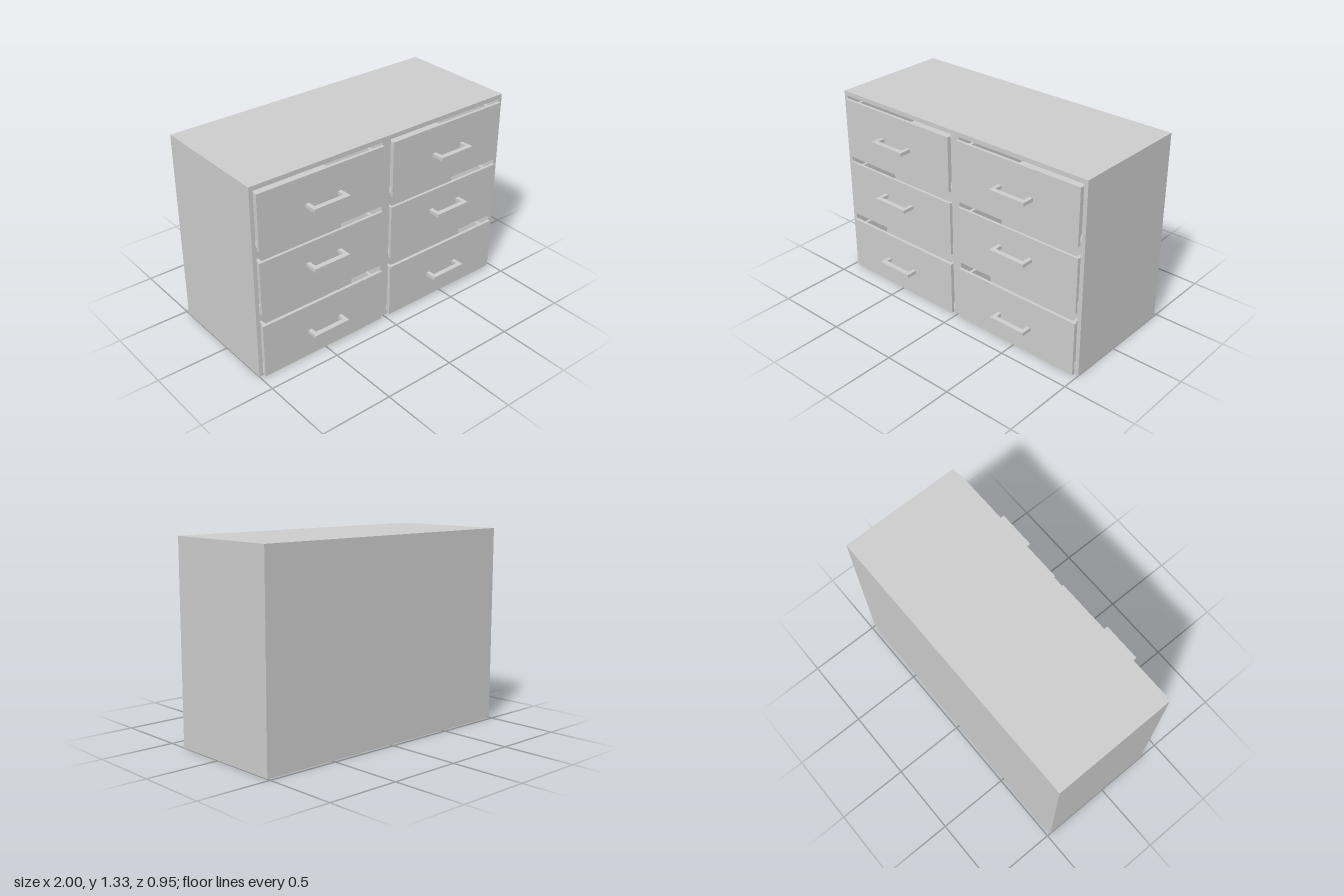
import * as THREE from 'three';

const FRONT = 0.364, BACK = -0.474, HEIGHT = 1.334;
const material = new THREE.MeshStandardMaterial({ color: 0xcccccc, flatShading: true });
const shellMaterial = new THREE.MeshStandardMaterial({ color: 0xcccccc, flatShading: true, side: THREE.DoubleSide });

// bottom / top of each drawer panel, panel z range, opening top and depth, handle height and reach
const ROWS = [
  { y0: 0.002, y1: 0.38, z0: FRONT, z1: 0.385, openTop: 0.415, depth: 0.26, handleY: 0.184, reach: 0.462 },
  { y0: 0.452, y1: 0.83, z0: FRONT, z1: 0.382, openTop: 0.858, depth: 0.37, handleY: 0.683, reach: 0.47 },
  { y0: 0.911, y1: 1.289, z0: 0.367, z1: 0.388, openTop: 1.304, depth: 0.61, handleY: 1.096, reach: 0.474 },
];
const COLUMNS = [-0.5025, 0.5025];
const OPEN_W = 0.94, PANEL_W = 0.932;

function add(parent, name, geometry, mat = material) {
  const mesh = new THREE.Mesh(geometry, mat);
  mesh.name = name;
  parent.add(mesh);
  return mesh;
}

// Box given by its minimum and maximum corners
function block(x0, x1, y0, y1, z0, z1) {
  return new THREE.BoxGeometry(x1 - x0, y1 - y0, z1 - z0)
    .translate((x0 + x1) / 2, (y0 + y1) / 2, (z0 + z1) / 2);
}

// The same box without its front (+z) face
function openBlock(...corners) {
  const g = block(...corners);
  const index = Array.from(g.index.array);
  index.splice(24, 6);
  g.setIndex(index);
  g.clearGroups();
  return g;
}

function rectangle(target, x0, x1, y0, y1) {
  target.moveTo(x0, y0);
  target.lineTo(x1, y0);
  target.lineTo(x1, y1);
  target.lineTo(x0, y1);
  target.closePath();
  return target;
}

// U-shaped pull: two legs and a bar, cut from one outline in the x-z plane
function handleGeometry(reach, z) {
  const w = 0.133, inner = 0.106, bar = reach - 0.034;
  const outline = [[-w, z], [-inner, z], [-inner, bar], [inner, bar], [inner, z], [w, z], [w, reach], [-w, reach]];
  const shape = new THREE.Shape(outline.map(([a, b]) => new THREE.Vector2(a, b)));
  const g = new THREE.ExtrudeGeometry(shape, { depth: 0.024, bevelEnabled: false });
  return g.translate(0, 0, -0.012).rotateX(Math.PI / 2);
}

function createDrawer(cx, row) {
  const drawer = new THREE.Group();
  drawer.name = 'drawer';
  const { y0, y1, z0, z1 } = row;
  add(drawer, 'drawerFront', block(cx - PANEL_W / 2, cx + PANEL_W / 2, y0, y1, z0, z1));

  // Open tray behind the panel
  const w = OPEN_W / 2 - 0.04, t = 0.02;
  const bottom = y0 + 0.035, top = y1 - 0.034, rear = FRONT - row.depth + 0.02;
  for (const s of [-1, 1]) {
    const a = cx + s * w, b = cx + s * (w - t);
    add(drawer, 'drawerSide', block(Math.min(a, b), Math.max(a, b), bottom, top, rear, z0));
  }
  add(drawer, 'drawerBack', block(cx - w + t, cx + w - t, bottom, top, rear, rear + t));
  add(drawer, 'drawerFloor', block(cx - w + t, cx + w - t, bottom, bottom + t, rear + t, z0));

  const handle = add(drawer, 'handle', handleGeometry(row.reach, z1));
  handle.position.set(cx, row.handleY, 0);
  return drawer;
}

export function createModel() {
  const model = new THREE.Group();
  model.name = 'chestOfDrawers';

  // Cabinet: outer shell, pierced front and a recess for each drawer
  const cabinet = new THREE.Group();
  cabinet.name = 'cabinet';
  model.add(cabinet);
  add(cabinet, 'cabinetShell', openBlock(-1, 1, 0, HEIGHT, BACK, FRONT), shellMaterial);
  const face = rectangle(new THREE.Shape(), -1, 1, 0, HEIGHT);

  for (const row of ROWS) {
    for (const cx of COLUMNS) {
      const opening = [cx - OPEN_W / 2, cx + OPEN_W / 2, row.y0 + 0.02, row.openTop];
      face.holes.push(rectangle(new THREE.Path(), ...opening));
      add(cabinet, 'drawerRecess', openBlock(...opening, FRONT - row.depth, FRONT), shellMaterial);
      model.add(createDrawer(cx, row));
    }
  }
  add(cabinet, 'cabinetFrontFrame', new THREE.ShapeGeometry(face).translate(0, 0, FRONT), shellMaterial);
  return model;
}
